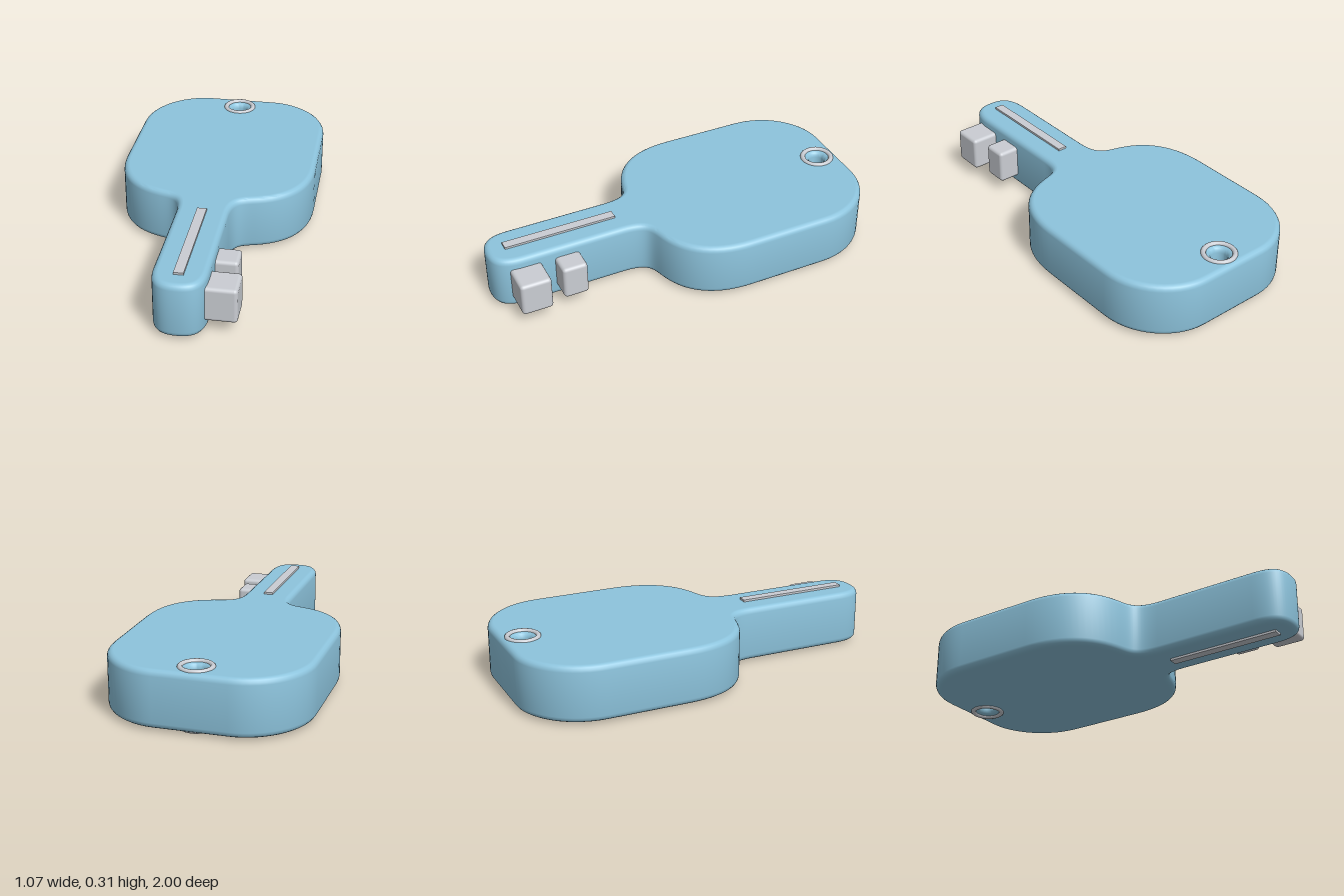
import * as THREE from 'three';
import { toCreasedNormals } from 'three/addons/utils/BufferGeometryUtils.js';
import { RoundedBoxGeometry } from 'three/addons/geometries/RoundedBoxGeometry.js';

const BOTTOM = 0.015, TOP = 0.3, BEVEL = 0.03;
const MIDDLE = (BOTTOM + TOP) / 2;

// Outline seen from above: one half drawn head to tip, then mirrored
function bodyShape() {
  const path = new THREE.Path();
  path.moveTo(0, -0.972);
  path.lineTo(0.18, -0.972);
  path.bezierCurveTo(0.34, -0.972, 0.505, -0.83, 0.505, -0.62);
  path.lineTo(0.505, -0.2);
  path.bezierCurveTo(0.505, 0, 0.42, 0.13, 0.26, 0.18);
  path.bezierCurveTo(0.18, 0.205, 0.135, 0.2, 0.13, 0.33);
  path.lineTo(0.13, 0.86);
  path.bezierCurveTo(0.13, 0.97, 0.09, 1.015, 0, 1.015);
  const half = path.getPoints(14);
  const mirrored = half.slice(1, -1).reverse().map((p) => new THREE.Vector2(-p.x, p.y));
  const shape = new THREE.Shape([...half, ...mirrored]);
  const hole = new THREE.Path();
  hole.absarc(0, -0.861, 0.04, 0, Math.PI * 2, true);
  shape.holes.push(hole);
  return shape;
}

function bodyGeometry() {
  const extruded = new THREE.ExtrudeGeometry(bodyShape(), {
    depth: TOP - BOTTOM - 2 * BEVEL,
    bevelThickness: BEVEL,
    bevelSize: BEVEL,
    bevelOffset: -BEVEL,
    bevelSegments: 4,
    curveSegments: 16,
  });
  extruded.rotateX(Math.PI / 2).translate(0, TOP - BEVEL, 0);
  const geometry = toCreasedNormals(extruded, 0.7);
  // Keep the two broad faces perfectly flat
  const { position, normal } = geometry.attributes;
  for (let i = 0; i < position.count; i++) {
    const y = position.getY(i);
    if (y > TOP - 1e-4) normal.setXYZ(i, 0, 1, 0);
    if (y < BOTTOM + 1e-4) normal.setXYZ(i, 0, -1, 0);
  }
  return geometry;
}

export function createModel() {
  const blue = new THREE.MeshStandardMaterial({ color: 0x8dc4dd });
  blue.name = 'light blue';
  const silver = new THREE.MeshStandardMaterial({ color: 0xcacdd3 });
  silver.name = 'silver grey';

  const key = new THREE.Group();
  key.name = 'key';
  const add = (name, geometry, material, x, y, z) => {
    const mesh = new THREE.Mesh(geometry, material);
    mesh.name = name;
    mesh.position.set(x, y, z);
    key.add(mesh);
    return mesh;
  };

  add('body', bodyGeometry(), blue, 0, 0, 0);

  // Hole rims and blade strips on both faces
  const rim = new THREE.TorusGeometry(0.076, 0.013, 12, 40).rotateX(Math.PI / 2);
  const strip = new THREE.BoxGeometry(0.048, 0.02, 0.585);
  for (const [side, y] of [['top', TOP], ['bottom', BOTTOM]]) {
    const out = side === 'top' ? 1 : -1;
    add(side + 'HoleRim', rim, silver, 0, y - 0.002 * out, -0.861);
    add(side + 'BladeStrip', strip, silver, 0, y + 0.001 * out, 0.63);
  }

  // Teeth: outer edge, start and end along the blade
  const teeth = [['largeTooth', 0.272, 0.775, 0.935], ['smallTooth', 0.24, 0.575, 0.705]];
  for (const [name, outer, start, end] of teeth) {
    const inner = 0.08;
    const box = new RoundedBoxGeometry(outer - inner, 0.178, end - start, 3, 0.018);
    add(name, box, silver, (outer + inner) / 2, MIDDLE, (start + end) / 2);
  }

  // The key lies slightly turned on the ground
  key.rotation.y = -0.148;
  key.position.set(-0.063, 0, -0.01);
  const model = new THREE.Group();
  model.name = 'model';
  model.add(key);
  return model;
}
